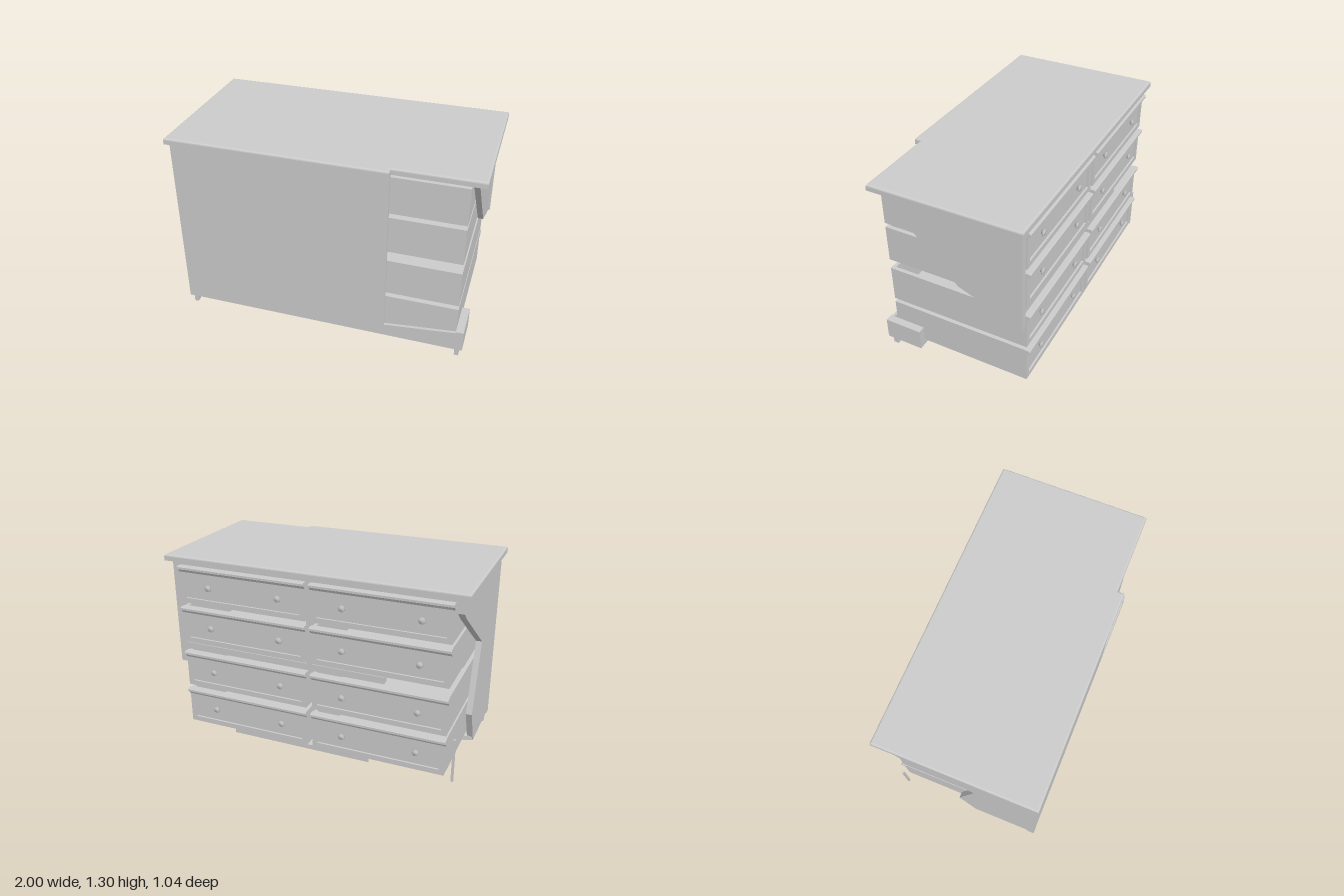
import * as THREE from 'three';

const mat = new THREE.MeshStandardMaterial({ color: 0xcccccc, flatShading: true });
const smooth = new THREE.MeshStandardMaterial({ color: 0xcccccc });

function add(parent, name, geometry, material = mat) {
  const mesh = new THREE.Mesh(geometry, material);
  mesh.name = name;
  parent.add(mesh);
  return mesh;
}

// Box given by its minimum and maximum on each axis
function box(parent, name, x0, x1, y0, y1, z0, z1) {
  const g = new THREE.BoxGeometry(x1 - x0, y1 - y0, z1 - z0);
  g.translate((x0 + x1) / 2, (y0 + y1) / 2, (z0 + z1) / 2);
  return add(parent, name, g);
}

function extrude(points, depth, options = {}) {
  const shape = new THREE.Shape(points.map(([a, b]) => new THREE.Vector2(a, b)));
  return new THREE.ExtrudeGeometry(shape, { depth, bevelEnabled: false, ...options });
}

// Board outlined in z, y and running from x0 to x1
function boardX(parent, name, points, x0, x1) {
  const g = extrude(points.map(([z, y]) => [-z, y]), x1 - x0);
  g.rotateY(Math.PI / 2).translate(x0, 0, 0);
  return add(parent, name, g);
}

// Board outlined in x, z and running from y0 to y1
function boardY(parent, name, points, y0, y1, options) {
  const g = extrude(points.map(([x, z]) => [x, -z]), y1 - y0, options);
  g.rotateX(-Math.PI / 2).translate(0, y0, 0);
  return add(parent, name, g);
}

// Open-topped drawer with a framed front on the -z side, lip moulding and two knobs
function makeDrawer(x0, x1, y) {
  const d = new THREE.Group();
  d.name = 'drawer';
  const h = 0.25, t = 0.025, top = y + h;
  box(d, 'drawerBottom', x0, x1, y, y + 0.027, -0.47, 0.45);
  box(d, 'drawerSide', x0, x0 + t, y, top, -0.47, 0.45);
  box(d, 'drawerSide', x1 - t, x1, y, top, -0.47, 0.45);
  box(d, 'drawerBack', x0 + t, x1 - t, y, top, 0.425, 0.45);
  box(d, 'drawerFront', x0, x1, y, top, -0.485, -0.465);

  // Raised frame around the front panel
  const f = 0.035;
  box(d, 'frontFrame', x0, x1, y, y + f, -0.498, -0.485);
  box(d, 'frontFrame', x0, x1, top - 0.06, top - 0.02, -0.498, -0.485);
  for (const a of [x0, x1 - f]) box(d, 'frontFrame', a, a + f, y + f, top - 0.06, -0.498, -0.485);

  // Lip along the top edge
  boardX(d, 'frontLip', [
    [-0.48, top - 0.045], [-0.498, top - 0.04], [-0.506, top - 0.025], [-0.52, top - 0.018],
    [-0.52, top - 0.004], [-0.514, top + 0.003], [-0.48, top + 0.003],
  ], x0 - 0.004, x1 + 0.004);

  // Round knobs
  const profile = [[0, 0], [0.012, 0], [0.012, 0.008], [0.023, 0.012], [0.021, 0.019], [0, 0.023]]
    .map(([r, k]) => new THREE.Vector2(r, k));
  for (const s of [0.21, 0.77]) {
    const knob = add(d, 'knob', new THREE.LatheGeometry(profile, 16), smooth);
    knob.rotation.x = -Math.PI / 2;
    knob.position.set(x0 + (x1 - x0) * s, y + 0.12, -0.485);
  }
  return d;
}

export function createModel() {
  const model = new THREE.Group();
  model.name = 'brokenDresser';

  // Table top, with a strip broken off its front right edge
  const top = [[-1, -0.52], [1, -0.52], [1, 0.475], [0.44, 0.475], [0.44, 0.52], [-1, 0.52]];
  boardY(model, 'tableTop', top, 1.26, 1.287);
  boardY(model, 'tableTopEdge', top, 1.275, 1.288, {
    bevelEnabled: true, bevelSize: 0.012, bevelOffset: -0.012, bevelThickness: 0.012, bevelSegments: 3,
  });

  // Large rear board, broken away above the lower right corner
  const rear = extrude([
    [-0.97, 0.065], [0.96, 0.065], [0.96, 0.205], [0.44, 0.15], [0.44, 1.26], [-0.97, 1.26],
  ], 0.02);
  add(model, 'rearBoard', rear.translate(0, 0, 0.48));
  box(model, 'cornerPost', -0.97, -0.93, 0.065, 1.26, 0.45, 0.502);

  // Right side: broken upper panel and the remaining lower corner
  boardX(model, 'rightPanel', [
    [0.445, 1.26], [-0.07, 0.72], [-0.435, 0.572], [-0.435, 1.26],
  ], 0.915, 0.95);
  boardX(model, 'rightPost', [[-0.435, 1.26], [-0.435, 0.572], [-0.49, 0.55], [-0.49, 1.26]], 0.91, 0.957);
  box(model, 'rightCorner', 0.91, 0.96, 0.065, 0.21, 0.245, 0.5);

  // Left side panel with a jagged edge
  boardX(model, 'leftPanel', [
    [0.5, 0.065], [0.5, 1.26], [-0.49, 1.26], [-0.49, 1.17], [-0.43, 1.12],
    [0.08, 0.78], [-0.056, 0.31], [0.05, 0.065],
  ], -0.965, -0.925);
  box(model, 'leftPostSplinter', -0.965, -0.95, 0.065, 0.36, -0.49, -0.475);

  // Bottom board with its broken outline
  boardY(model, 'bottomBoard', [
    [-0.96, 0.49], [0.95, 0.49], [0.95, 0.245], [0.45, 0.245], [0.31, 0],
    [0.57, -0.485], [-0.41, -0.485], [-0.29, -0.16], [-0.96, 0.04],
  ], 0.065, 0.097);

  // Rails and stile left between the drawers
  box(model, 'middleRail', -0.5, 0.91, 0.645, 0.69, -0.485, -0.44);
  box(model, 'upperRail', -0.92, 0.91, 1.235, 1.262, -0.485, -0.44);
  box(model, 'stile', -0.018, 0.018, 0.645, 1.26, -0.485, -0.44);

  // Legs
  box(model, 'leg', 0.91, 0.938, 0, 0.07, 0.445, 0.48);
  box(model, 'leg', -0.953, -0.927, 0, 0.07, 0.445, 0.48);

  // Two columns of four drawers
  for (const y of [0.1, 0.38, 0.7, 0.98]) {
    model.add(makeDrawer(0.02, 0.907, y));
    model.add(makeDrawer(-0.907, -0.02, y));
  }
  return model;
}
